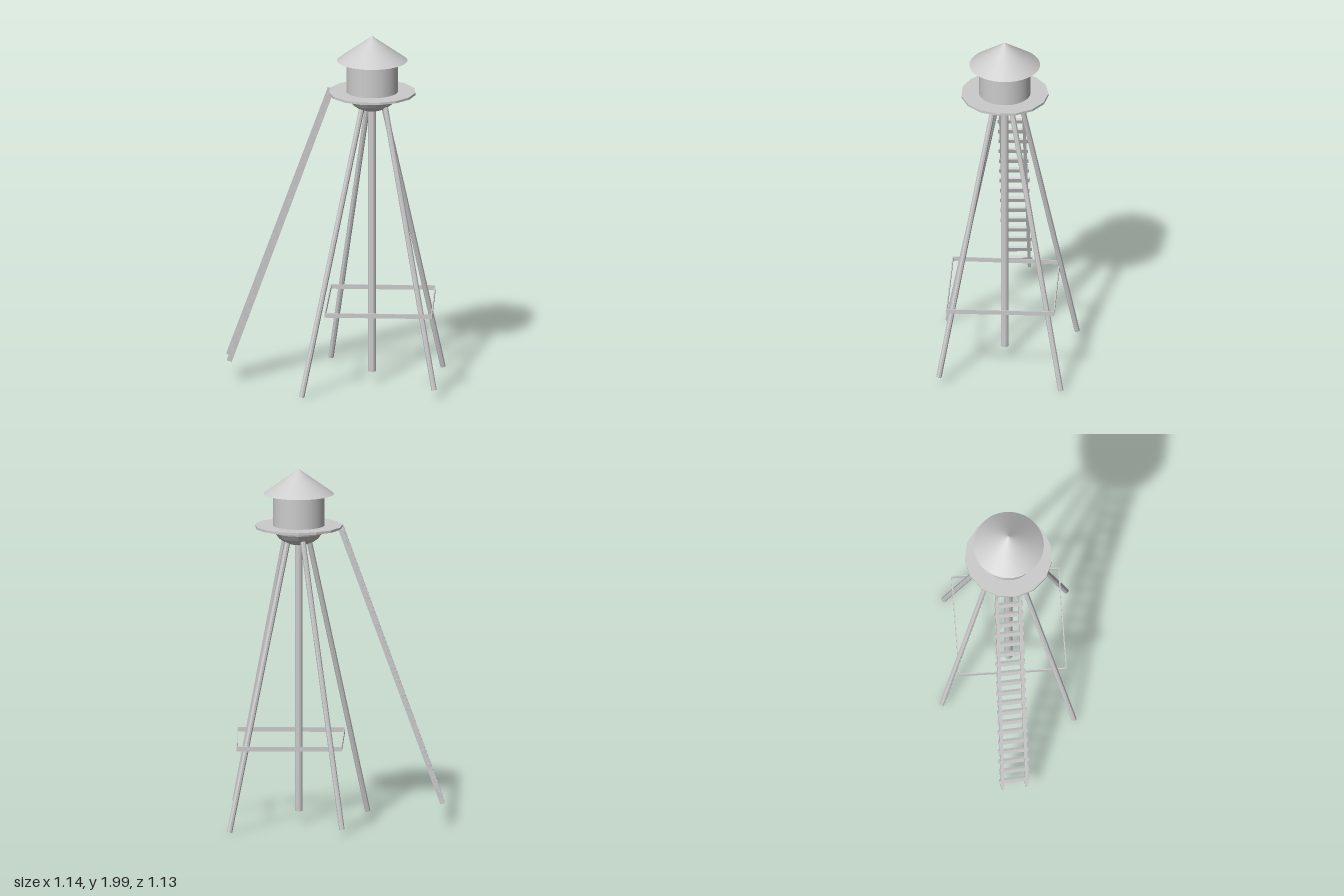
import * as THREE from 'three';

const V = (x, y, z) => new THREE.Vector3(x, y, z);
const smooth = new THREE.MeshStandardMaterial({ color: 0xcccccc });
const flat = new THREE.MeshStandardMaterial({ color: 0xcccccc, flatShading: true });
const CX = 0.053, CZ = 0.054; // tower axis

export function createModel() {
  const model = new THREE.Group();

  const add = (name, geometry, material, parent = model) => {
    const mesh = new THREE.Mesh(geometry, material);
    mesh.name = name;
    parent.add(mesh);
    return mesh;
  };

  // Box between two points: width lies along "side", depth across it
  const beam = (name, a, b, width, depth, side, parent) => {
    const dir = b.clone().sub(a);
    const mesh = add(name, new THREE.BoxGeometry(width, dir.length(), depth), flat, parent);
    dir.normalize();
    const n = side.clone().cross(dir).normalize();
    const s = dir.clone().cross(n);
    mesh.quaternion.setFromRotationMatrix(new THREE.Matrix4().makeBasis(s, dir, n));
    mesh.position.copy(a).add(b).multiplyScalar(0.5);
  };

  // Round post between two points
  const post = (name, a, b, r, sides) => {
    const dir = b.clone().sub(a);
    const mesh = add(name, new THREE.CylinderGeometry(r, r, dir.length(), sides), flat);
    mesh.position.copy(a).add(b).multiplyScalar(0.5);
    mesh.quaternion.setFromUnitVectors(V(0, 1, 0), dir.normalize());
  };

  // Tank, roof, walkway and bowl, all on the tower axis
  const tank = new THREE.Group();
  tank.name = 'tank';
  tank.position.set(CX, 0, CZ);
  tank.rotation.y = Math.PI / 2;
  model.add(tank);
  add('roof', new THREE.ConeGeometry(0.195, 0.14, 48), smooth, tank).position.y = 1.93;
  add('tankWall', new THREE.CylinderGeometry(0.143, 0.143, 0.19, 48), smooth, tank).position.y = 1.77;
  add('walkway', new THREE.CylinderGeometry(0.242, 0.242, 0.013, 15), flat, tank).position.y = 1.677;
  const profile = [];
  for (let i = 0; i <= 5; i++) {
    const t = (i / 5) * Math.PI / 2;
    profile.push(new THREE.Vector2(0.14 * Math.sin(t), 1.673 - 0.1 * Math.cos(t)));
  }
  add('bowl', new THREE.LatheGeometry(profile, 15), flat, tank);

  // Central pipe and four splayed legs
  post('centralPipe', V(CX, 0.078, CZ), V(CX, 1.62, CZ), 0.022, 12);
  [
    ['leftLeg', V(0.555, 0.015, 0.063), V(0.115, 1.64, 0.063)],
    ['rightLeg', V(-0.45, 0.015, 0.049), V(-0.005, 1.64, 0.049)],
    ['frontLeg', V(0.086, 0.068, 0.55), V(0.067, 1.64, 0.143)],
    ['backLeg', V(0.132, 0.045, -0.397), V(0.093, 1.64, -0.02)],
  ].forEach(([name, foot, top]) => post(name, foot, top, 0.015, 8));

  // Ring of thin braces
  const corners = [V(0.07, 0.478, -0.322), V(0.497, 0.478, 0.065), V(0.103, 0.478, 0.508), V(-0.333, 0.478, 0.11)];
  corners.forEach((c, i) => beam('brace', c, corners[(i + 1) % 4], 0.025, 0.006, V(0, 1, 0), model));

  // Leaning ladder
  const ladder = new THREE.Group();
  ladder.name = 'ladder';
  model.add(ladder);
  const footA = V(-0.475, 0.138, -0.55), topA = V(-0.065, 1.675, -0.165);
  const footB = V(-0.558, 0.138, -0.445), topB = V(-0.148, 1.675, -0.07);
  const across = footA.clone().sub(footB).normalize();
  beam('ladderRail', footA, topA, 0.018, 0.028, across, ladder);
  beam('ladderRail', footB, topB, 0.018, 0.028, across, ladder);
  const slope = topA.clone().sub(footA).normalize();
  const rungs = 19;
  for (let i = 0; i < rungs; i++) {
    const t = 0.036 + (i / (rungs - 1)) * 0.92;
    const a = footA.clone().lerp(topA, t).addScaledVector(across, 0.017);
    const b = footB.clone().lerp(topB, t).addScaledVector(across, -0.017);
    beam('rung', a, b, 0.028, 0.016, slope, ladder);
  }
  return model;
}
